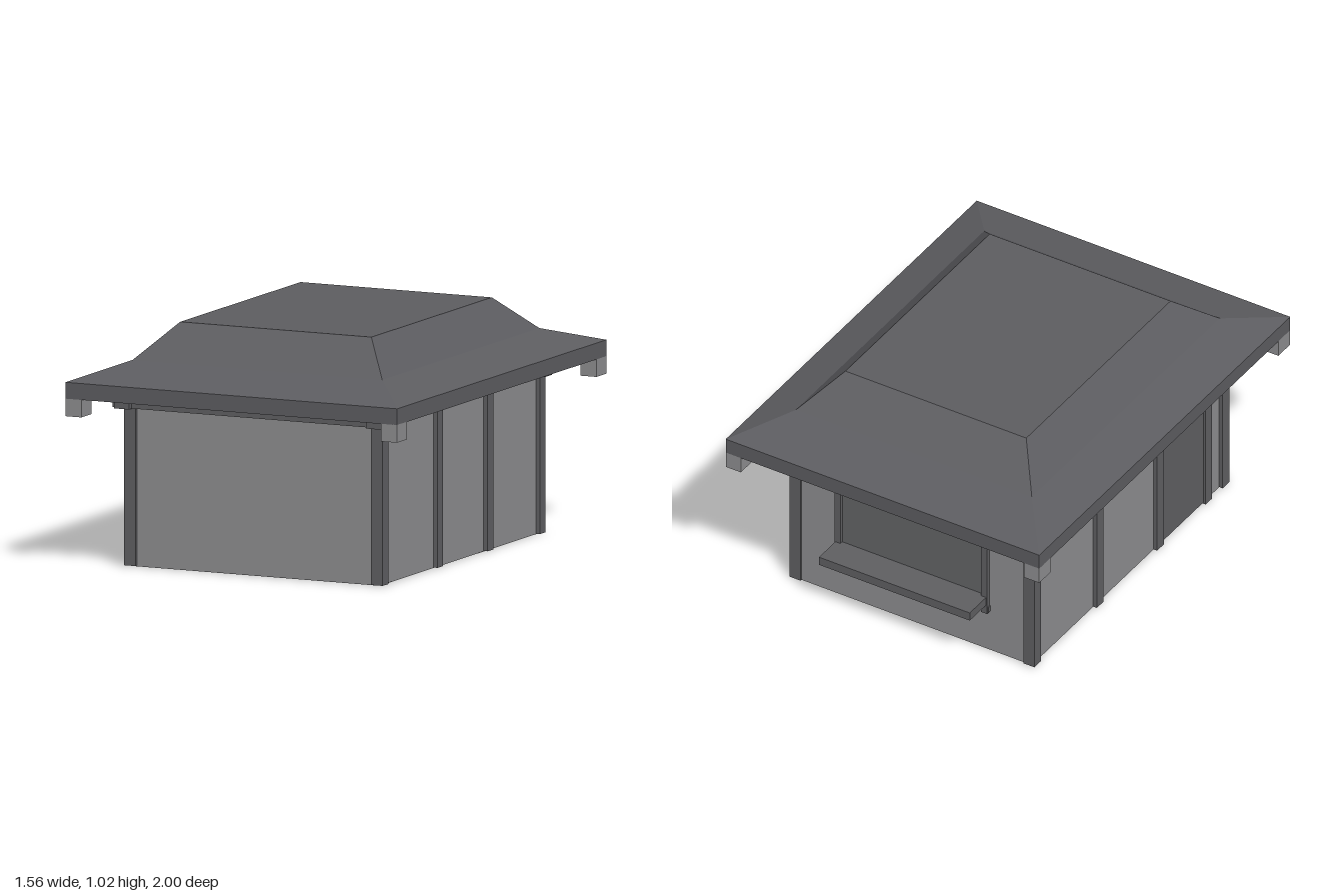
import * as THREE from 'three';

function material(name, color) {
  const m = new THREE.MeshStandardMaterial({ color });
  m.name = name;
  return m;
}

// Stack of rectangular rings [halfX, y, halfZ], from bottom to top, capped at both ends
function rectLoft(rings) {
  const corners = rings.map(([x, y, z]) => [[-x, y, z], [x, y, z], [x, y, -z], [-x, y, -z]]);
  const pos = [];
  const quad = (a, b, c, d) => pos.push(...a, ...b, ...c, ...a, ...c, ...d);
  for (let i = 0; i < corners.length - 1; i++) {
    for (let k = 0; k < 4; k++) {
      const n = (k + 1) % 4;
      quad(corners[i][k], corners[i][n], corners[i + 1][n], corners[i + 1][k]);
    }
  }
  quad(...corners[corners.length - 1]);
  quad(...corners[0].slice().reverse());
  const g = new THREE.BufferGeometry();
  g.setAttribute('position', new THREE.Float32BufferAttribute(pos, 3));
  g.computeVertexNormals();
  return g;
}

export function createModel() {
  const model = new THREE.Group();
  model.name = 'hut';
  const wall = material('wall grey', 0x8c8c8e);
  const wood = material('dark timber', 0x5e5e61);
  const roofing = material('roof grey', 0x5c5c60);
  const pane = material('window grey', 0x626365);

  // Box given by its minimum and maximum on each axis
  function box(name, mat, [x0, x1], [y0, y1], [z0, z1], parent = model) {
    const mesh = new THREE.Mesh(new THREE.BoxGeometry(x1 - x0, y1 - y0, z1 - z0), mat);
    mesh.position.set((x0 + x1) / 2, (y0 + y1) / 2, (z0 + z1) / 2);
    mesh.name = name;
    parent.add(mesh);
    return mesh;
  }

  // Walls and floor
  box('walls', wall, [-0.59, 0.59], [0.002, 0.735], [-0.755, 0.775]);
  box('floorFront', wood, [-0.585, 0.585], [0, 0.006], [0.42, 0.77]);
  box('floorBack', wood, [-0.585, 0.585], [0, 0.006], [-0.4, 0.02]);

  // Posts along both sides
  for (const side of [-1, 1]) {
    for (const z of [0.763, 0.24, -0.24, -0.738]) {
      const x = side * 0.582;
      box('post', wood, [x - 0.027, x + 0.027], [0.004, 0.69], [z - 0.027, z + 0.027]);
    }
  }

  // Door on one side, with its jamb
  box('door', wood, [-0.597, -0.588], [0.01, 0.66], [0.265, 0.6]);
  box('doorJamb', wood, [-0.609, -0.57], [0.004, 0.69], [0.6, 0.65]);

  // Crossing beams under the roof
  for (const z of [0.762, -0.74]) {
    box('crossBeam', wood, [-0.66, 0.635], [0.678, 0.735], [z - 0.035, z + 0.035]);
  }
  for (const x of [-0.605, 0.58]) {
    box('sideBeam', wood, [x - 0.035, x + 0.035], [0.677, 0.728], [-0.8, 0.82]);
  }

  // Two-pitch hipped roof with a flat top
  const roof = new THREE.Mesh(rectLoft([
    [0.78, 0.735, 1], [0.78, 0.805, 1], [0.587, 0.878, 0.75], [0.45, 1.025, 0.575],
  ]), roofing);
  roof.name = 'roof';
  model.add(roof);

  // Blocks under the eave corners
  for (const sx of [-1, 1]) {
    for (const sz of [-1, 1]) {
      const block = box('eaveBlock', wall, [-0.0375, 0.0375], [0.66, 0.736], [-0.0475, 0.0475]);
      block.position.x = sx * 0.7425;
      block.position.z = sz * 0.9525;
    }
  }

  // Back window: pane, frame and serving shelf
  const win = new THREE.Group();
  win.name = 'backWindow';
  model.add(win);
  box('windowPane', pane, [-0.36, 0.36], [0.22, 0.65], [-0.76, -0.752], win);
  for (const s of [-1, 1]) {
    box('frameUpright', wood, [s * 0.365 - 0.015, s * 0.365 + 0.015], [0.2, 0.67], [-0.775, -0.75], win);
  }
  for (const y of [0.22, 0.64]) {
    box('frameRail', wood, [-0.385, 0.385], [y - 0.013, y + 0.013], [-0.772, -0.75], win);
  }
  box('shelf', wood, [-0.375, 0.375], [0.245, 0.285], [-0.905, -0.755], win);

  return model;
}
